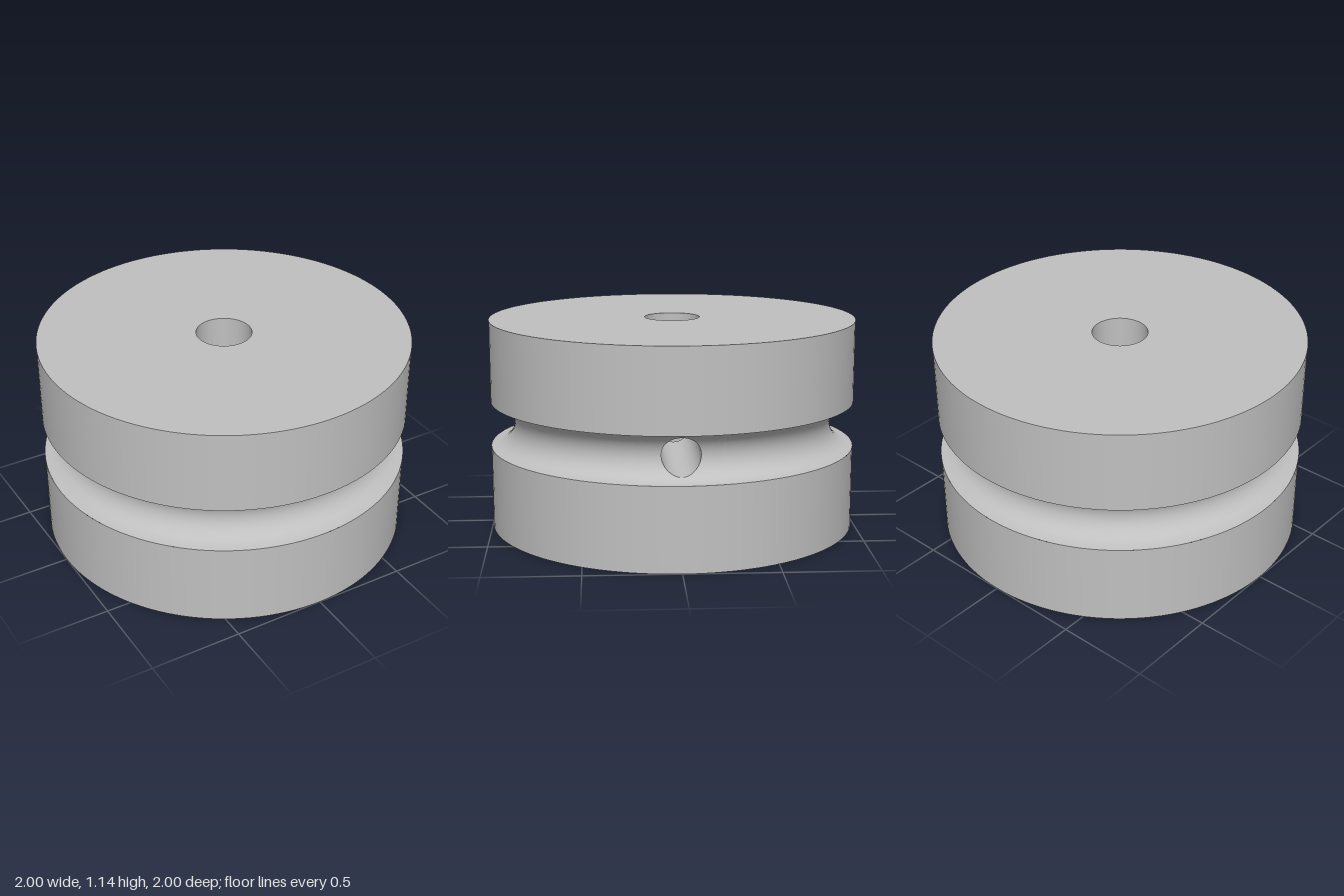
import * as THREE from 'three';

const R = 1, H = 1.145, BORE = 0.15, MID = 0.575;
const GROOVE_H = 0.125, GROOVE_D = 0.128, HOLE = 0.1, N = 64;

// Grid closed around a ring (i) and open along j
function ringGrid(nj, at, flip = false) {
  const pos = [], idx = [];
  for (let j = 0; j <= nj; j++)
    for (let i = 0; i < N; i++) pos.push(...at((i / N) * Math.PI * 2, j / nj));
  for (let j = 0; j < nj; j++)
    for (let i = 0; i < N; i++) {
      const k = (i + 1) % N;
      const a = j * N + i, b = j * N + k, c = a + N, d = b + N;
      if (flip) idx.push(a, c, b, b, c, d);
      else idx.push(a, b, c, b, d, c);
    }
  const g = new THREE.BufferGeometry();
  g.setAttribute('position', new THREE.Float32BufferAttribute(pos, 3));
  g.setIndex(idx);
  g.computeVertexNormals();
  return g;
}

// Curved rectangular wall patch facing +x with a round opening in it:
// surf(s) gives [radius, y], sHole(a) the profile parameter on the hole rim
function wallWithHole(surf, sHole, sMax, tMax, flip) {
  return ringGrid(12, (a, f) => {
    const c = Math.cos(a), s = Math.sin(a), m = Math.max(Math.abs(c), Math.abs(s));
    const s0 = sHole(a), t0 = Math.asin(HOLE * c / surf(s0)[0]);
    const v = THREE.MathUtils.lerp(s0, sMax * s / m, f);
    const t = THREE.MathUtils.lerp(t0, tMax * c / m, f);
    const [r, y] = surf(v);
    return [r * Math.cos(t), y, r * Math.sin(t)];
  }, flip);
}

// Lathe that leaves a gap of +-gap radians around +x
function lathe(points, gap = 0) {
  return new THREE.LatheGeometry(points.map(p => new THREE.Vector2(...p)), 128,
    Math.PI / 2 + gap, Math.PI * 2 - gap * 2);
}

export function createModel() {
  const group = new THREE.Group();
  const metal = new THREE.MeshStandardMaterial({ color: 0xc0c0c0 });
  metal.name = 'grey metal';
  const add = (name, geometry) => {
    const mesh = new THREE.Mesh(geometry, metal);
    mesh.name = name;
    group.add(mesh);
  };

  // Flat faces and outer rims
  add('bottomFace', lathe([[BORE, 0], [R, 0]]));
  add('topFace', lathe([[R, H], [BORE, H]]));
  add('lowerRim', lathe([[R, 0], [R, MID - GROOVE_H]]));
  add('upperRim', lathe([[R, MID + GROOVE_H], [R, H]]));

  // Round groove, with the cross hole opening on the left
  const groove = p => [R - GROOVE_D * Math.cos(p), MID + GROOVE_H * Math.sin(p)];
  const profile = [];
  for (let k = 0; k <= 16; k++)
    profile.push(groove(Math.PI / 2 * Math.tan((k / 16 - 0.5) * Math.PI / 2)));
  const grooveRim = a => Math.asin(HOLE * Math.sin(a) / GROOVE_H);
  add('groove', lathe(profile, 0.25));
  add('grooveAroundHole', wallWithHole(groove, grooveRim, Math.PI / 2, 0.25, false));

  // Central bore
  const band = 0.2;
  add('lowerBore', lathe([[BORE, MID - band], [BORE, 0]]));
  add('upperBore', lathe([[BORE, H], [BORE, MID + band]]));
  add('middleBore', lathe([[BORE, MID + band], [BORE, MID - band]], 1));
  add('boreAroundHole',
    wallWithHole(s => [BORE, MID + s], a => HOLE * Math.sin(a), band, 1, true));

  // Cross hole from the bore to the groove
  add('crossHole', ringGrid(1, (a, f) => {
    const z = HOLE * Math.cos(a);
    const r = f === 0 ? BORE : groove(grooveRim(a))[0];
    return [Math.sqrt(r * r - z * z), MID + HOLE * Math.sin(a), z];
  }));

  return group;
}
